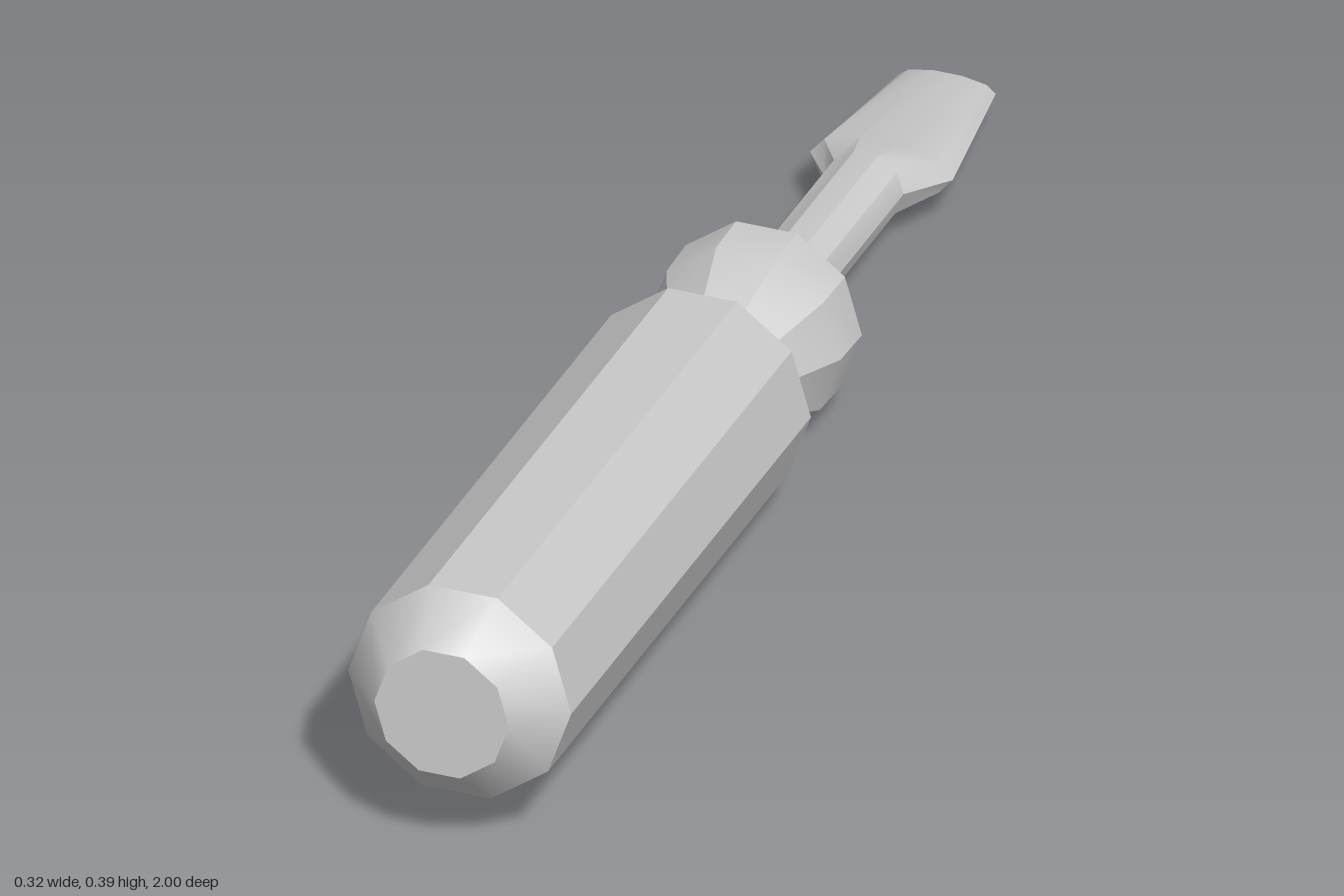
import * as THREE from 'three';
import { toCreasedNormals } from 'three/addons/utils/BufferGeometryUtils.js';

const SIDES = 10;

// Closed loft along z through ten-sided rings [z, radiusX, radiusY], listed back to front
function loft(rings) {
  const pos = [];
  const index = [];
  for (const [z, rx, ry] of rings) {
    for (let j = 0; j < SIDES; j++) {
      const a = (j / SIDES) * Math.PI * 2;
      pos.push(Math.cos(a) * rx, Math.sin(a) * ry, z);
    }
  }
  const last = rings.length - 1;
  const backCentre = rings.length * SIDES;
  pos.push(0, 0, rings[0][0], 0, 0, rings[last][0]);
  for (let j = 0; j < SIDES; j++) {
    const k = (j + 1) % SIDES;
    for (let i = 0; i < last; i++) {
      const p = i * SIDES;
      const q = p + SIDES;
      index.push(p + j, p + k, q + k, p + j, q + k, q + j);
    }
    index.push(backCentre, k, j);
    index.push(backCentre + 1, last * SIDES + j, last * SIDES + k);
  }
  const geo = new THREE.BufferGeometry();
  geo.setAttribute('position', new THREE.Float32BufferAttribute(pos, 3));
  geo.setIndex(index);
  return toCreasedNormals(geo, THREE.MathUtils.degToRad(30));
}

export function createModel() {
  const group = new THREE.Group();
  group.name = 'screwdriver';
  const material = new THREE.MeshStandardMaterial({ color: 0xcccccc });

  // Tool axis, tipped so the handle end and the collar rest on the ground
  const tool = new THREE.Group();
  tool.name = 'tool';
  tool.position.set(0, 0.157, -0.01);
  tool.rotation.x = -0.085;
  group.add(tool);

  const add = (name, rings) => {
    const mesh = new THREE.Mesh(loft(rings), material);
    mesh.name = name;
    tool.add(mesh);
    return mesh;
  };

  // Handle with collar, pinched neck, long grip and chamfered butt
  add('handle', [
    [-0.25, 0.142, 0.142],
    [-0.171, 0.14, 0.14],
    [-0.083, 0.097, 0.097],
    [0, 0.161, 0.161],
    [0.933, 0.161, 0.161],
    [1.004, 0.097, 0.097],
  ]);

  // Shaft flaring into a flat blade, set slightly off the handle axis
  const blade = add('shaftAndBlade', [
    [-0.994, 0.07, 0.018],
    [-0.737, 0.103, 0.04],
    [-0.672, 0.056, 0.053],
    [-0.24, 0.056, 0.053],
  ]);
  blade.position.set(-0.01, -0.01, 0);

  return group;
}
